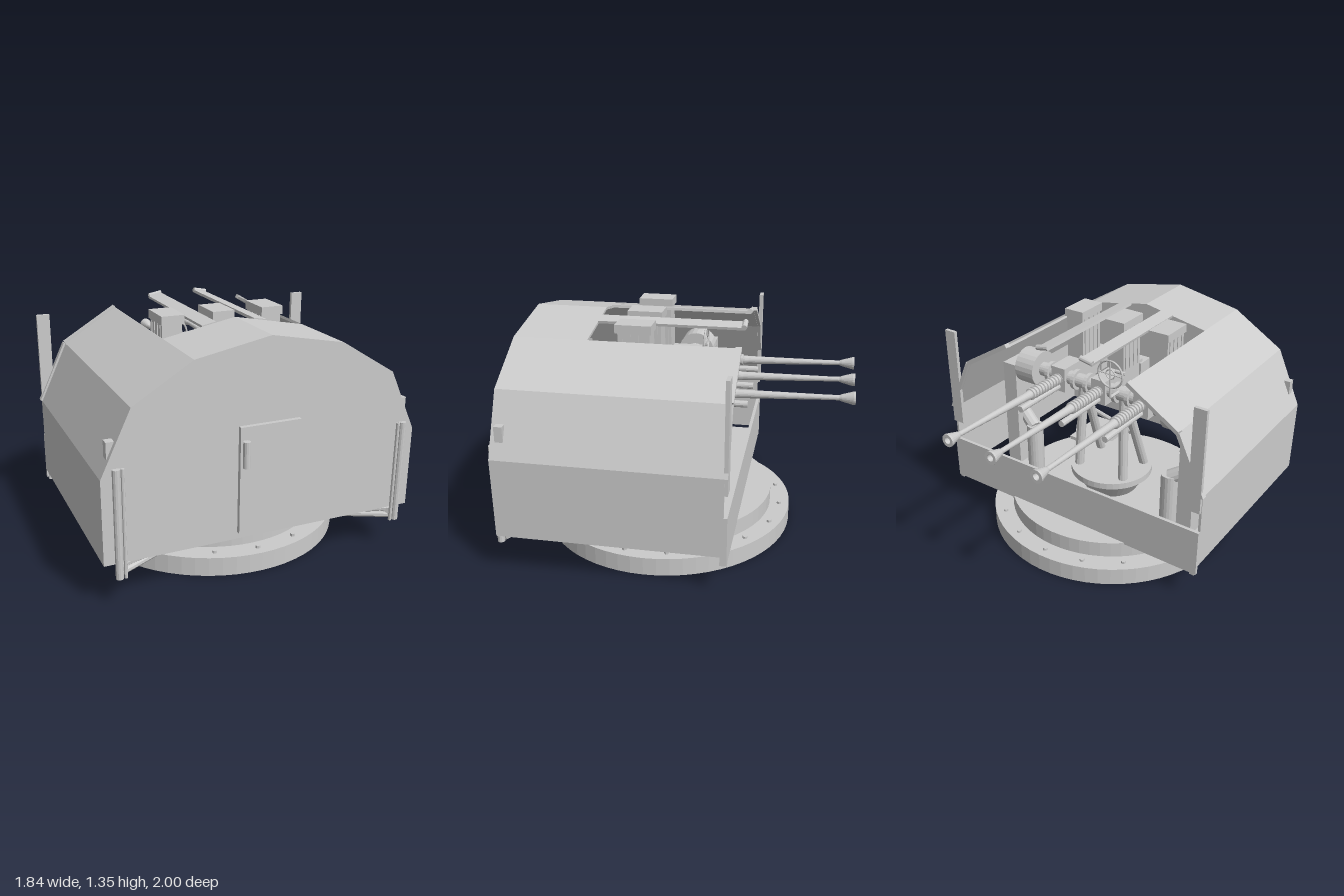
import * as THREE from 'three';

const mat = new THREE.MeshStandardMaterial({ color: 0xcccccc, flatShading: true, side: THREE.DoubleSide });

export function createModel() {
  const root = new THREE.Group();

  const add = (name, geo, x = 0, y = 0, z = 0, parent = root) => {
    const m = new THREE.Mesh(geo, mat);
    m.name = name;
    m.position.set(x, y, z);
    parent.add(m);
    return m;
  };
  // Box given by its limits on each axis
  const box = (name, x0, x1, y0, y1, z0, z1, parent = root) =>
    add(name, new THREE.BoxGeometry(x1 - x0, y1 - y0, z1 - z0), (x0 + x1) / 2, (y0 + y1) / 2, (z0 + z1) / 2, parent);
  const disc = (name, rTop, rBottom, y0, y1, x, z, n = 24) =>
    add(name, new THREE.CylinderGeometry(rTop, rBottom, y1 - y0, n), x, (y0 + y1) / 2, z);
  // Round or square bar between two points
  const bar = (name, a, b, r, n = 12, parent = root) => {
    const p = new THREE.Vector3(...a), q = new THREE.Vector3(...b), d = q.clone().sub(p);
    const m = add(name, new THREE.CylinderGeometry(r, r, d.length(), n), 0, 0, 0, parent);
    m.position.copy(p).add(q).multiplyScalar(0.5);
    m.quaternion.setFromUnitVectors(new THREE.Vector3(0, 1, 0), d.normalize());
    return m;
  };
  // Flat outline in x and y, extruded from z0 to z1
  const slab = (name, pts, z0, z1) => {
    const shape = new THREE.Shape(pts.map(p => new THREE.Vector2(...p)));
    return add(name, new THREE.ExtrudeGeometry(shape, { depth: z1 - z0, bevelEnabled: false }), 0, 0, z0);
  };

  // Base rings with bolts
  const cz = 0.125;
  disc('baseRing', 0.777, 0.777, 0, 0.11, 0, cz, 64);
  disc('turntable', 0.655, 0.655, 0.11, 0.21, 0, cz, 64);
  for (let i = 0; i < 18; i++) {
    const a = (i * Math.PI) / 9;
    disc('baseBolt', 0.014, 0.014, 0.11, 0.125, 0.715 * Math.sin(a), cz + 0.715 * Math.cos(a), 8);
  }
  disc('pedestal', 0.25, 0.17, 0.21, 0.33, 0, cz, 40);
  disc('pedestalTop', 0.265, 0.265, 0.33, 0.37, 0, cz, 40);

  // Shield: half outline of the shell, outer then inner side
  const outer = [[0.91, 0.25], [0.91, 0.72], [0.745, 1.07], [0.42, 1.268], [0, 1.348]];
  const inner = [[0, 1.333], [0.415, 1.254], [0.733, 1.06], [0.895, 0.717], [0.895, 0.25]];
  const flip = pts => pts.map(([x, y]) => [-x, y]);
  for (const s of [1, -1]) {
    const f = s > 0 ? p => p : flip;
    slab('rearRoofAndSide', f([...outer, ...inner]), 0.5, 0.93);
    slab('frontRoofAndSide', f([...outer.slice(0, 4), ...inner.slice(1)]), -0.35, 0.5);
    // Raised rim along the open edge
    for (let i = 1; i < 3; i++) {
      const [a, b] = [outer[i], outer[i + 1]];
      const l = Math.hypot(b[0] - a[0], b[1] - a[1]);
      const nx = (b[1] - a[1]) / l * 0.012, ny = (a[0] - b[0]) / l * 0.012;
      slab('edgeRim', f([[a[0] + nx, a[1] + ny], [b[0] + nx, b[1] + ny],
        [b[0] - nx, b[1] - ny], [a[0] - nx, a[1] - ny]]), -0.37, -0.335);
    }
  }
  slab('doorWall', [...outer, ...flip(outer).reverse().slice(1)], 0.915, 0.932);
  box('frontPanel', -0.91, 0.91, 0.2, 0.49, -0.37, -0.35);
  box('frontFloor', -0.85, 0.85, 0.215, 0.25, -0.35, -0.12);

  // Door and handle
  box('door', -0.175, 0.175, 0.29, 0.89, 0.93, 0.957);
  disc('doorHandle', 0.02, 0.02, 0.675, 0.82, -0.15, 0.978, 12);

  for (const s of [1, -1]) {
    const mbox = (name, x0, x1, ...r) => box(name, s > 0 ? x0 : -x1, s > 0 ? x1 : -x0, ...r);
    mbox('cornerPost', 0.83, 0.907, 0.62, 1.256, -0.37, -0.348);
    mbox('sideBracket', 0.815, 0.868, 0.8, 0.9, 0.858, 0.905);
    mbox('cornerFoot', 0.87, 0.9, 0.19, 0.25, -0.37, -0.33);

    // Pipes outside the door wall
    disc('verticalPipe', 0.021, 0.021, 0.17, 0.77, s * 0.832, 0.94, 12);
    disc('thinPipe', 0.01, 0.01, 0.17, 0.77, s * 0.8, 0.945, 8);

    // Carrier arms below the shield
    bar('underArm', [s * 0.82, 0.21, 0.92], [s * 0.42, 0.2, 0.3], 0.026, 4);
    bar('underArm', [s * 0.82, 0.19, 0.92], [s * 0.45, 0.18, 0.72], 0.018, 8);
    bar('underArm', [s * 0.82, 0.225, 0.9], [s * 0.18, 0.225, 0.72], 0.018, 8);
    mbox('footPlate', 0.28, 0.55, 0.225, 0.25, 0.4, 0.75);

    // Trunnion supports
    mbox('sideSupport', 0.61, 0.71, 0.25, 0.98, -0.08, 0.14);
    bar('trunnionDrum', [s * 0.47, 0.955, 0.03], [s * 0.61, 0.955, 0.03], 0.115, 24);
    disc('supportColumn', 0.055, 0.055, 0.21, 0.55, s * 0.52, -0.02, 20);
    bar('columnBrace', [s * 0.52, 0.53, -0.02], [s * 0.64, 0.6, 0.02], 0.045, 12);
    bar('pedestalStrut', [s * 0.17, 0.36, 0.25], [s * 0.15, 0.93, 0.04], 0.03, 12);
    bar('pedestalStrut', [s * 0.17, 0.36, 0], [s * 0.15, 0.93, 0.03], 0.03, 12);

    // Roof rail between the gun slots, sloped like the roof
    const rail = box('roofRail', -0.042, 0.042, -0.008, 0.008, -0.36, 0.5);
    rail.position.set(s * 0.152, 1.317, 0.07);
    rail.rotation.z = -s * 0.19;
    const cap = bar('railEnd', [s * 0.112, 1.332, -0.355], [s * 0.192, 1.317, -0.355], 0.016, 10);
    cap.scale.z = 1;

    // Shoulder rests behind the outer guns
    bar('shoulderRest', [s * 0.33, 0.92, 0.34], [s * 0.44, 0.86, 0.5], 0.025, 6);
  }

  // Trunnion shaft with flanges
  bar('trunnionShaft', [-0.47, 0.955, 0.03], [0.47, 0.955, 0.03], 0.045, 20);
  for (const x of [-0.4, -0.2, -0.105, 0.105, 0.2, 0.4])
    bar('trunnionFlange', [x - 0.012, 0.955, 0.03], [x + 0.012, 0.955, 0.03], 0.065, 20);

  // Barrel profile: radius, distance from the trunnion; recoil spring coils first
  const profile = [[0, -0.05], [0.035, -0.05]];
  for (let i = 0; i < 11; i++) {
    const d = 0.05 + i * 0.027;
    profile.push([0.036, d], [0.036, d + 0.013], [0.028, d + 0.015], [0.028, d + 0.025]);
  }
  profile.push([0.025, 0.37], [0.015, 0.87], [0.015, 0.94], [0.021, 0.955], [0.038, 1.018], [0.038, 1.03],
    [0.02, 1.03], [0.012, 0.97], [0, 0.97]);
  const barrelGeo = new THREE.LatheGeometry(profile.map(p => new THREE.Vector2(...p)), 20);
  barrelGeo.rotateX(-Math.PI / 2 + 0.025);

  // Three guns
  for (const x of [-0.305, 0, 0.305]) {
    const gun = new THREE.Group();
    gun.name = 'gun';
    gun.position.x = x;
    root.add(gun);
    add('barrel', barrelGeo, 0, 0.952, 0.03, gun);
    bar('recoilCylinder', [0, 0.9, 0.03], [0, 0.9, -0.4], 0.02, 12, gun);
    box('receiver', -0.052, 0.052, 0.87, 1.03, -0.03, 0.39, gun);
    box('receiverBack', -0.065, 0.065, 0.88, 1.01, 0.35, 0.46, gun);
    box('magazine', -0.06, 0.06, 1.02, 1.3, 0.155, 0.34, gun);
    box('magazineCap', -0.067, 0.067, 1.3, 1.35, 0.145, 0.355, gun);
    for (const mx of [-0.06, 0.06])
      for (let z = 0.18; z < 0.34; z += 0.045)
        box('magazineRib', mx - 0.005, mx + 0.005, 1.03, 1.3, z - 0.006, z + 0.006, gun);
  }

  // Ring sight
  const [sx, sy, sz] = [-0.13, 1.13, -0.09];
  add('sightRing', new THREE.TorusGeometry(0.085, 0.006, 8, 28), sx, sy, sz);
  add('sightInnerRing', new THREE.TorusGeometry(0.03, 0.004, 6, 20), sx, sy, sz);
  for (let i = 0; i < 2; i++) {
    const c = 0.085 * (1 - i), k = 0.085 * i;
    bar('sightCross', [sx - c, sy - k, sz], [sx + c, sy + k, sz], 0.004, 6);
  }
  bar('sightStem', [sx, 0.98, sz], [sx, sy - 0.085, sz], 0.008, 8);
  bar('sightArm', [sx, 0.98, sz], [sx, 0.98, 0.1], 0.01, 8);
  bar('rearSight', [-0.11, 1.05, 0.1], [-0.04, 1.05, 0.1], 0.012, 8);

  return root;
}
